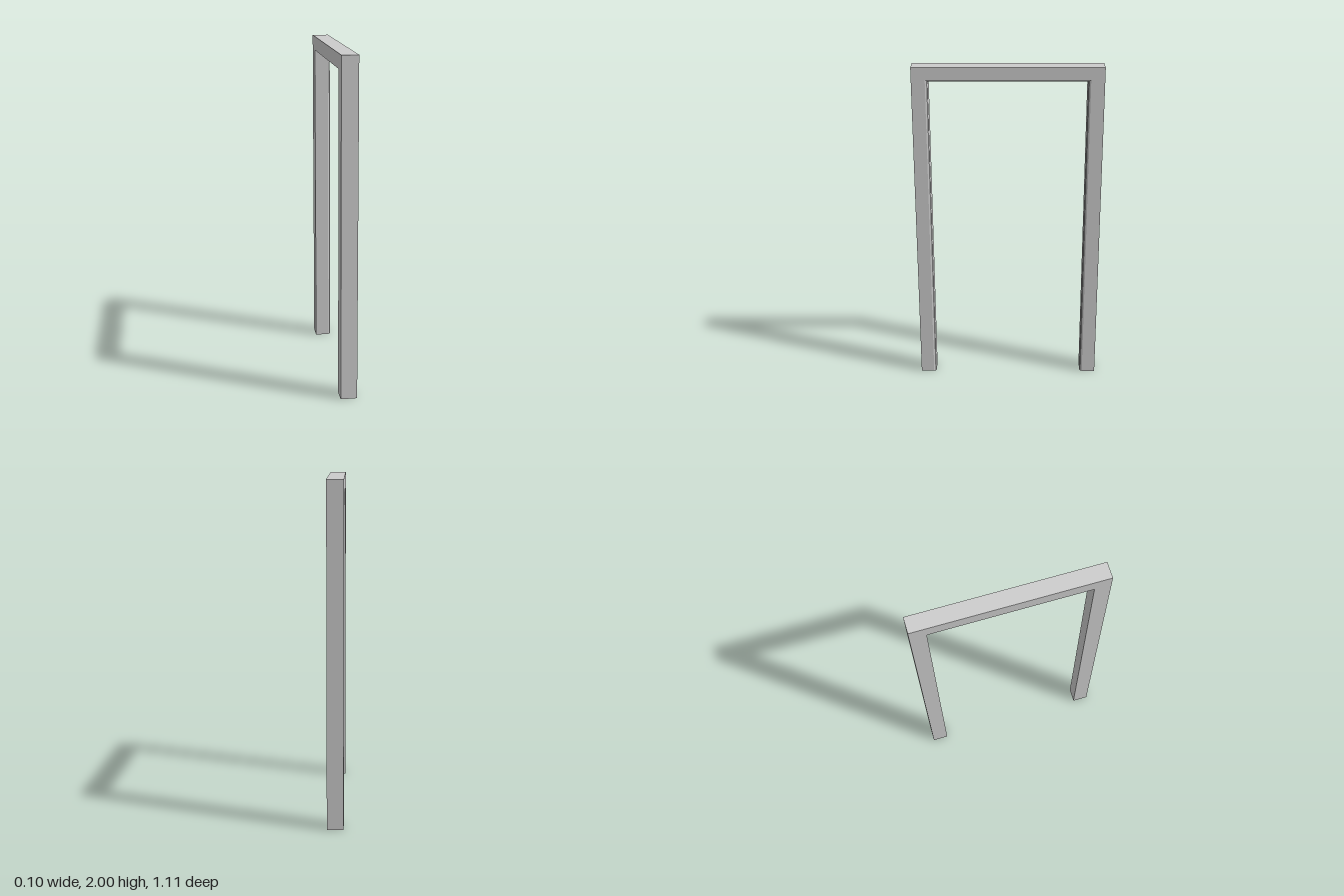
import * as THREE from 'three';

// Member cross-section: [fraction from outer (0) to inner (1) edge, x].
// The inner edge on the +x side is softly eased.
const SECTION = [
  [0, -0.049], [1, -0.049], [1, 0.034], [0.95, 0.043], [0.84, 0.048], [0, 0.048],
];
const HALF_WIDTH = 0.555, HEIGHT = 2, POST = 0.095, LINTEL = 0.085;

// Section placed at a foot or a mitred top corner, on side s (+1 or -1 in z)
function ring(s, top) {
  return SECTION.map(([u, x]) => [
    x, top ? HEIGHT - LINTEL * u : 0, s * (HALF_WIDTH - POST * u),
  ]);
}

// Member between two rings, with optional end caps
function member(name, a, b, capStart, capEnd, material) {
  const pos = [];
  const tri = (...pts) => pts.forEach((p) => pos.push(...p));
  const n = SECTION.length;
  for (let i = 0; i < n; i++) {
    const j = (i + 1) % n;
    tri(a[i], b[i], a[j]);
    tri(a[j], b[i], b[j]);
  }
  for (let i = 1; i < n - 1; i++) {
    if (capStart) tri(a[0], a[i], a[i + 1]);
    if (capEnd) tri(b[0], b[i + 1], b[i]);
  }
  const geometry = new THREE.BufferGeometry();
  geometry.setAttribute('position', new THREE.Float32BufferAttribute(pos, 3));
  geometry.computeVertexNormals();
  const mesh = new THREE.Mesh(geometry, material);
  mesh.name = name;
  return mesh;
}

export function createModel() {
  const group = new THREE.Group();
  group.name = 'doorFrame';
  const material = new THREE.MeshStandardMaterial({ color: 0xcccccc });

  // Up the front post, across the lintel, down the back post
  const rings = [ring(1, false), ring(1, true), ring(-1, true), ring(-1, false)];
  ['frontPost', 'lintel', 'backPost'].forEach((name, k) => {
    group.add(member(name, rings[k], rings[k + 1], k === 0, k === 2, material));
  });
  return group;
}
